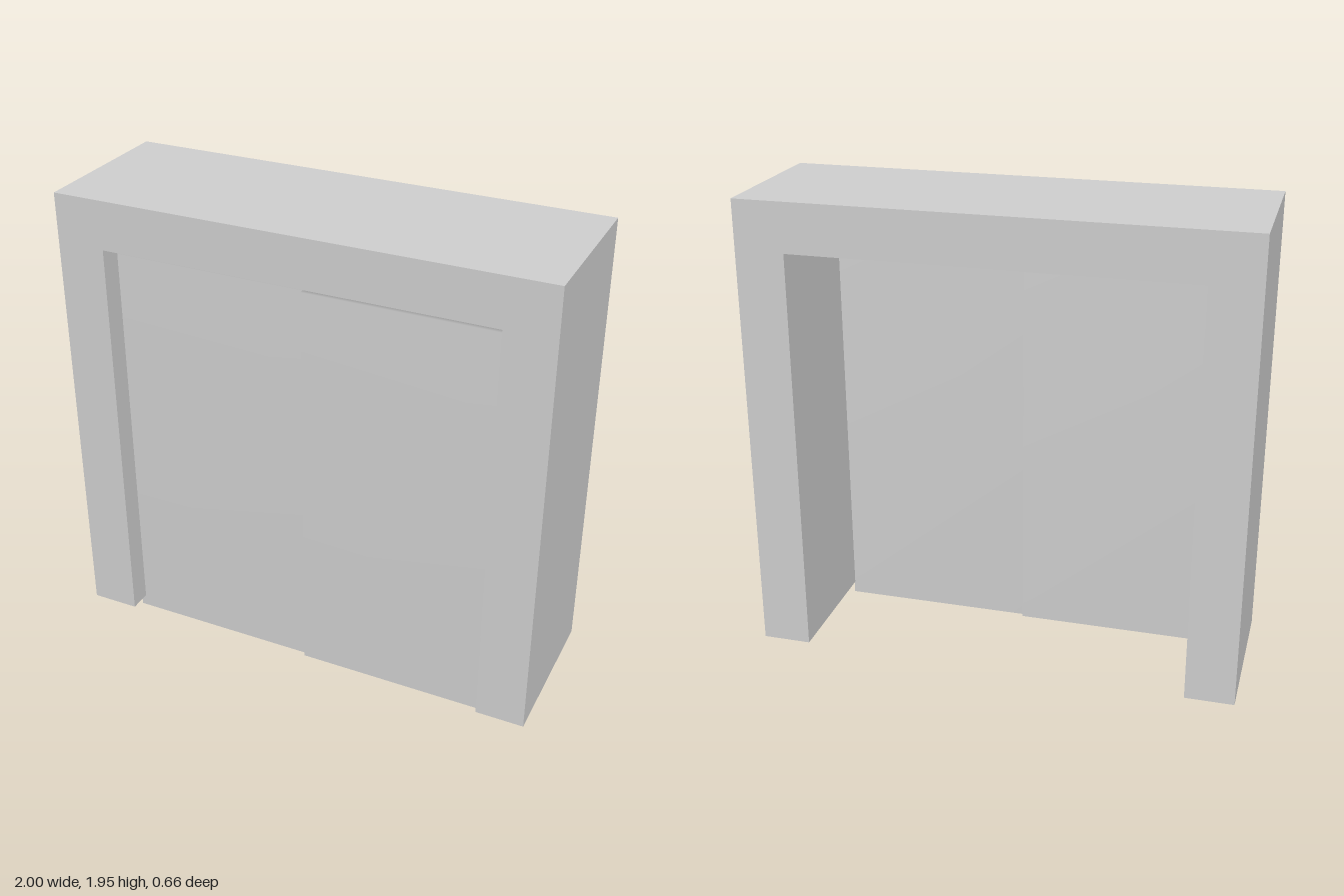
import * as THREE from 'three';
import { mergeVertices } from 'three/addons/utils/BufferGeometryUtils.js';

const BOTTOM = 0.05, TOP = 1.95, HEAD = 1.75, HALF_DEPTH = 0.33;

// Walls swept in depth along an open outline
function wallStrip(path) {
  const pos = [];
  for (let i = 0; i < path.length - 1; i++) {
    const [px, py] = path[i], [qx, qy] = path[i + 1];
    const a = [px, py, HALF_DEPTH], b = [qx, qy, HALF_DEPTH];
    const c = [qx, qy, -HALF_DEPTH], d = [px, py, -HALF_DEPTH];
    pos.push(...a, ...b, ...c, ...a, ...c, ...d);
  }
  const g = new THREE.BufferGeometry();
  g.setAttribute('position', new THREE.Float32BufferAttribute(pos, 3));
  g.computeVertexNormals();
  return g;
}

// Thin box whose corners share soft normals
function softBox(w, h, d) {
  const g = new THREE.BoxGeometry(w, h, d);
  g.deleteAttribute('normal');
  g.deleteAttribute('uv');
  const merged = mergeVertices(g);
  merged.computeVertexNormals();
  return merged;
}

export function createModel() {
  const model = new THREE.Group();
  const grey = new THREE.MeshStandardMaterial({ color: 0xcccccc, side: THREE.DoubleSide });
  grey.name = 'light grey';

  const add = (parent, name, geometry) => {
    const mesh = new THREE.Mesh(geometry, grey);
    mesh.name = name;
    parent.add(mesh);
    return mesh;
  };

  // Hollow door surround, open underneath the jambs
  const frame = new THREE.Group();
  frame.name = 'doorFrame';
  model.add(frame);
  const outer = [[-1, BOTTOM], [-1, TOP], [1, TOP], [1, BOTTOM]];
  const inner = [[0.8, BOTTOM], [0.8, HEAD], [-0.8, HEAD], [-0.8, BOTTOM]];
  add(frame, 'outerWalls', wallStrip(outer));
  add(frame, 'openingWalls', wallStrip(inner));

  const outline = new THREE.Shape([...outer, ...inner].map(([x, y]) => new THREE.Vector2(x, y)));
  const face = new THREE.ShapeGeometry(outline);
  add(frame, 'frontFace', face).position.z = HALF_DEPTH;
  const back = add(frame, 'backFace', face);
  back.position.z = -HALF_DEPTH;
  back.rotation.y = Math.PI;

  // Two door leaves, slightly staggered in depth
  const leaves = [
    ['rightLeaf', -0.82, 0, 0.218],
    ['leftLeaf', 0, 0.803, 0.235],
  ];
  for (const [name, x0, x1, z] of leaves) {
    add(model, name, softBox(x1 - x0, 1.7, 0.037)).position.set((x0 + x1) / 2, 0.85, z);
  }

  return model;
}
